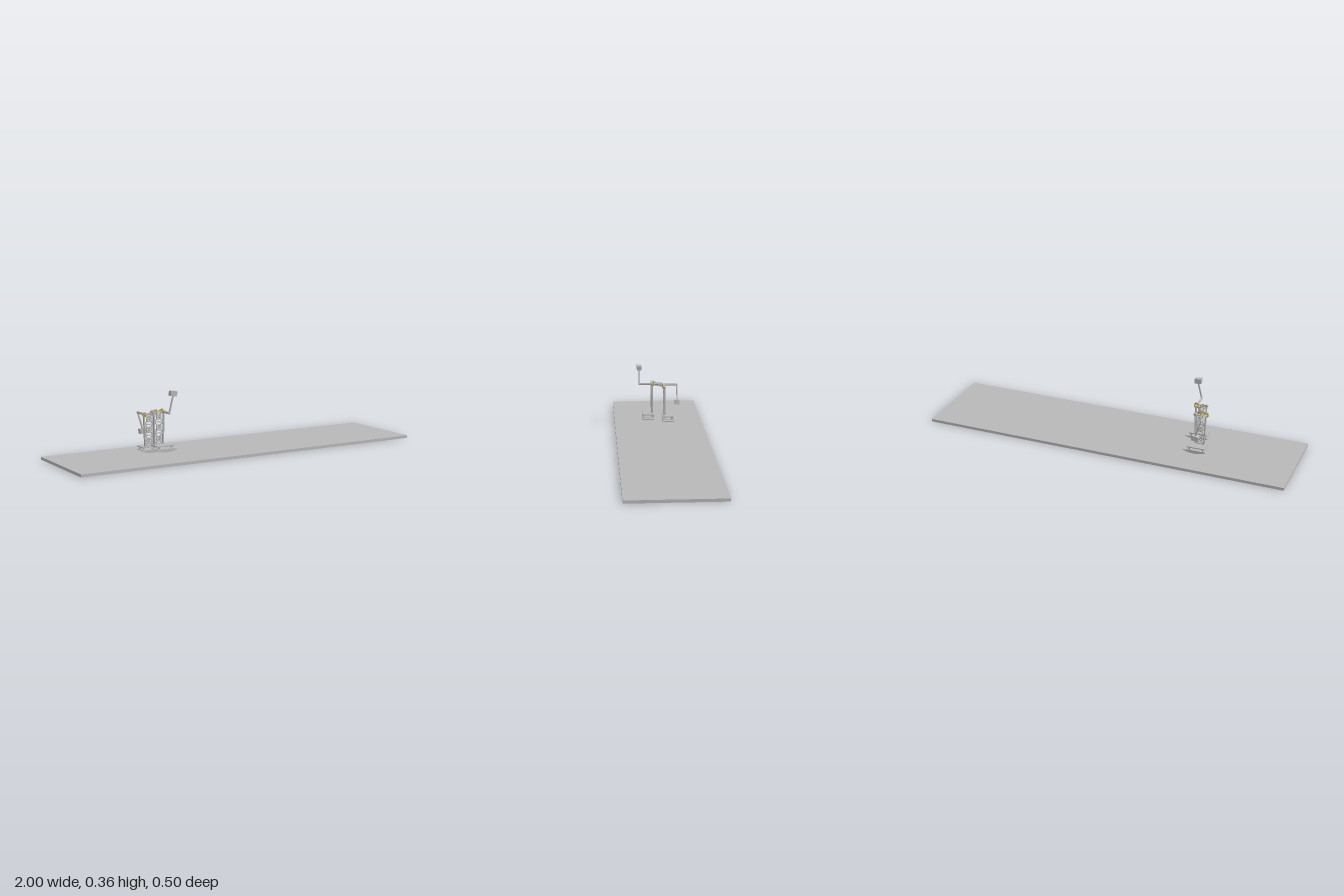
import * as THREE from 'three';

export function createModel() {
  const grey = new THREE.MeshStandardMaterial({ color: 0xb8b8b8 });
  grey.name = 'grey metal';
  const gold = new THREE.MeshStandardMaterial({ color: 0xc9a227 });
  gold.name = 'gold gear';
  const model = new THREE.Group();
  model.name = 'walkingMachine';

  const add = (parent, name, geo, x, y, z, mat = grey) => {
    const m = new THREE.Mesh(geo, mat);
    m.name = name;
    m.position.set(x, y, z);
    parent.add(m);
    return m;
  };
  const box = (parent, name, w, h, d, x, y, z, mat) =>
    add(parent, name, new THREE.BoxGeometry(w, h, d), x, y, z, mat);
  // Cylinder whose axis runs along z
  const pin = (parent, name, r, len, x, y, z, mat) => {
    const g = new THREE.CylinderGeometry(r, r, len, 24).rotateX(Math.PI / 2);
    return add(parent, name, g, x, y, z, mat);
  };
  // Flat bar between two points in a plane of constant z
  const bar = (parent, name, a, b, width, depth, z, mat) => {
    const dx = b[0] - a[0], dy = b[1] - a[1];
    const m = box(parent, name, width, Math.hypot(dx, dy), depth,
      (a[0] + b[0]) / 2, (a[1] + b[1]) / 2, z, mat);
    m.rotation.z = -Math.atan2(dx, dy);
    return m;
  };

  // Toothed wheel with its axis along z
  const gear = (parent, r, x, y, z) => {
    const s = new THREE.Shape();
    const n = 16;
    for (let i = 0; i < n * 4; i++) {
      const a = (i / (n * 4)) * Math.PI * 2;
      const rr = i % 4 < 2 ? r : r * 0.86;
      s[i ? 'lineTo' : 'moveTo'](rr * Math.cos(a), rr * Math.sin(a));
    }
    const hole = new THREE.Path();
    hole.absarc(0, 0, r * 0.3, 0, Math.PI * 2, true);
    s.holes.push(hole);
    const g = new THREE.ExtrudeGeometry(s, { depth: 0.004, bevelEnabled: false });
    add(parent, 'gear', g.translate(0, 0, -0.002), x, y, z, gold);
  };

  // Ground plate
  box(model, 'groundPlate', 2, 0.015, 0.5, 0, 0.0075, 0);

  // Rocker foot: flat on top, a shallow arc underneath
  const buildFoot = (parent, cx, y, cz) => {
    const foot = new THREE.Group();
    foot.name = 'foot';
    foot.position.set(cx, y, cz);
    parent.add(foot);
    const half = 0.0665, sag = 0.015;
    const R = (half * half + sag * sag) / (2 * sag);
    const a = Math.asin(half / R);
    const s = new THREE.Shape();
    s.absarc(0, R, R, -Math.PI / 2 - a, -Math.PI / 2 + a, false);
    s.closePath();
    const g = new THREE.ExtrudeGeometry(s, { depth: 0.064, bevelEnabled: false, curveSegments: 20 });
    add(foot, 'rockerSole', g.translate(0, 0, -0.032), 0, 0, 0);
    box(foot, 'solePlate', 0.1, 0.003, 0.064, -0.008, 0.0165, 0);
    box(foot, 'anklePlate', 0.1, 0.006, 0.064, -0.008, 0.033, 0);
    // Four coil springs between the plates
    for (const sx of [-1, 1]) for (const sz of [-1, 1]) {
      const x = -0.008 + sx * 0.036, z = sz * 0.0225;
      add(foot, 'springCore', new THREE.CylinderGeometry(0.003, 0.003, 0.014, 12), x, 0.024, z);
      for (let i = 0; i < 4; i++) {
        const coil = new THREE.TorusGeometry(0.0052, 0.0014, 6, 16).rotateX(Math.PI / 2);
        add(foot, 'springCoil', coil, x, 0.0195 + i * 0.0031, z);
      }
    }
  };

  // Open truss leg: two rails, rungs, diagonals and rings
  const buildLeg = (parent, cx, y0, y1, z) => {
    const leg = new THREE.Group();
    leg.name = 'leg';
    parent.add(leg);
    const depth = 0.011, n = 3;
    const halfAt = t => 0.024 + 0.005 * t;
    for (const s of [-1, 1]) {
      bar(leg, 'legRail', [cx + s * halfAt(0), y0], [cx + s * halfAt(1), y1], 0.006, depth, z);
      pin(leg, 'hipBoss', 0.008, depth, cx + s * halfAt(1), y1 - 0.006, z);
    }
    for (let i = 0; i <= n; i++) {
      const t = i / n, y = y0 + (y1 - y0) * t;
      const off = i === 0 ? 0.003 : i === n ? -0.006 : 0;
      box(leg, 'legRung', 2 * halfAt(t), 0.005, depth * 0.9, cx, y + off, z);
      if (i === n) break;
      const yn = y0 + (y1 - y0) * (i + 1) / n;
      const h = halfAt(t) - 0.002;
      bar(leg, 'legBrace', [cx - h, y], [cx + h, yn], 0.004, 0.008, z);
      bar(leg, 'legBrace', [cx + h, y], [cx - h, yn], 0.004, 0.0078, z);
      add(leg, 'legRing', new THREE.TorusGeometry(0.014, 0.003, 8, 24), cx, (y + yn) / 2, z);
    }
  };

  // Arm: rod out along z, a bent rod, and a block for the hand
  const buildArm = (parent, side, shoulder, hand, hy) => {
    const arm = new THREE.Group();
    arm.name = 'arm';
    parent.add(arm);
    pin(arm, 'upperArm', 0.0055, 0.08, shoulder[0], shoulder[1], side * 0.073);
    bar(arm, 'armCore', [shoulder[0], shoulder[1] - 0.004], [shoulder[0], shoulder[1] + 0.006],
      0.006, 0.08, side * 0.073);
    pin(arm, 'elbow', 0.006, 0.007, shoulder[0], shoulder[1], side * 0.1105);
    bar(arm, 'forearm', shoulder, hand, 0.007, 0.007, side * 0.1105);
    const block = box(arm, 'handBlock', 0.036, 0.026, 0.025, hand[0], hy, side * 0.1105);
    block.rotation.z = -Math.atan2(hand[0] - shoulder[0], Math.abs(hand[1] - shoulder[1])) * side * 0.5;
  };

  // Left half, raised in mid step
  buildFoot(model, -0.447, 0.039, 0.0585);
  buildLeg(model, -0.466, 0.075, 0.25, 0.0355);
  buildArm(model, 1, [-0.444, 0.244], [-0.422, 0.332], 0.345);

  // Right half, lowered
  buildFoot(model, -0.473, 0.019, -0.057);
  buildLeg(model, -0.486, 0.055, 0.228, -0.0355);
  buildArm(model, -1, [-0.512, 0.224], [-0.486, 0.138], 0.125);

  // Crank drive between the legs
  const drive = new THREE.Group();
  drive.name = 'drive';
  model.add(drive);
  const front = [-0.442, 0.245], back = [-0.515, 0.223], mid = [-0.478, 0.236];
  gear(drive, 0.013, front[0], front[1], 0.0275);
  gear(drive, 0.011, mid[0], mid[1] + 0.009, 0.0275);
  gear(drive, 0.013, back[0], back[1], -0.0265);
  gear(drive, 0.011, mid[0], mid[1] - 0.009, -0.0265);
  pin(drive, 'frontAxle', 0.005, 0.036, front[0], front[1], 0.02);
  pin(drive, 'backAxle', 0.005, 0.036, back[0], back[1], -0.02);
  bar(drive, 'frontCrank', front, mid, 0.01, 0.006, 0.012);
  bar(drive, 'backCrank', back, mid, 0.01, 0.006, -0.012);
  pin(drive, 'motorBody', 0.01, 0.036, mid[0], mid[1], 0);
  for (const z of [0.017, 0.004, -0.008, -0.018])
    pin(drive, 'motorFlange', 0.013, 0.003, mid[0], mid[1] + z * 0.3, z);

  return model;
}
